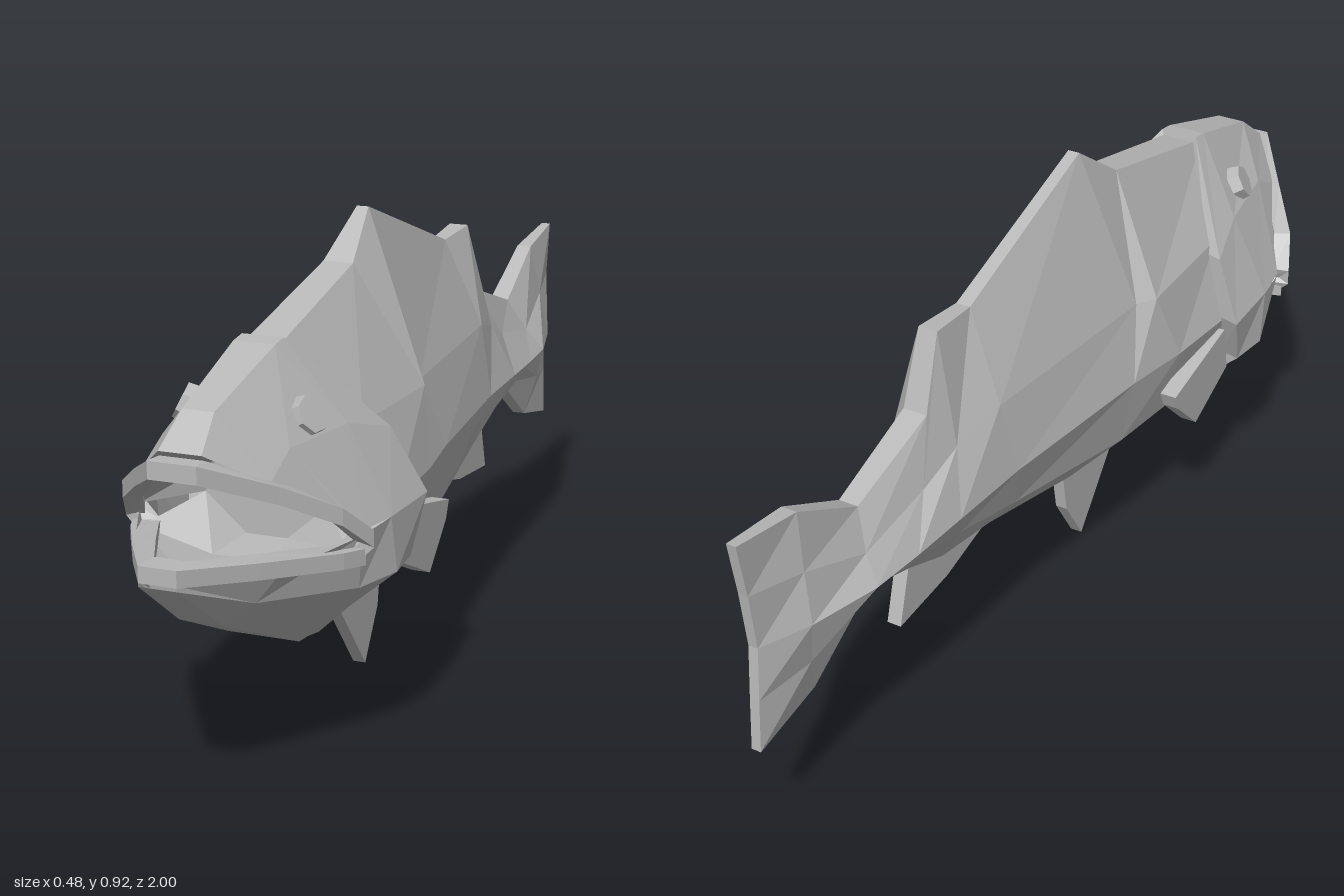
import * as THREE from 'three';

const grey = new THREE.MeshStandardMaterial({ color: 0xb8b8b8, flatShading: true, side: THREE.DoubleSide });
grey.name = 'grey';

const mirror = ([x, y, z]) => [-x, y, z];
// half rows run top to bottom on the +x side
const around = h => [...h, ...h.map(mirror).reverse()];
const overTop = h => [...h.map(mirror).reverse(), ...h];

// skin between successive rows of points
function loft(name, rows, closed = false, caps = false) {
  const n = rows[0].length, index = [];
  for (let r = 0; r < rows.length - 1; r++) {
    for (let i = 0; i < (closed ? n : n - 1); i++) {
      const a = r * n + i, b = r * n + (i + 1) % n, c = a + n, d = b + n;
      index.push(a, b, c, b, d, c);
    }
  }
  if (caps) {
    const e = (rows.length - 1) * n;
    for (let i = 0; i < n / 2 - 1; i++) {
      const j = n - 1 - i;
      for (const [s, f] of [[0, true], [e, false]]) {
        const q = [s + i, s + i + 1, s + j - 1, s + j];
        if (f) q.reverse();
        index.push(q[0], q[1], q[2], q[0], q[2], q[3]);
      }
    }
  }
  const g = new THREE.BufferGeometry();
  g.setAttribute('position', new THREE.Float32BufferAttribute(rows.flat(2), 3));
  g.setIndex(index);
  const flat = g.toNonIndexed();
  flat.computeVertexNormals();
  const m = new THREE.Mesh(flat, grey);
  m.name = name;
  return m;
}

// upright plate from a (z, y) outline
function fin(name, outline, width, x = 0) {
  const shape = new THREE.Shape(outline.map(p => new THREE.Vector2(...p)));
  const g = new THREE.ExtrudeGeometry(shape, { depth: width, bevelEnabled: false });
  g.rotateY(-Math.PI / 2).translate(x + width / 2, 0, 0);
  const m = new THREE.Mesh(g, grey);
  m.name = name;
  return m;
}

// bar that follows a mirrored path around the mouth
function lip(name, half, height, depth) {
  const path = overTop(half);
  const rows = path.map(([x, y, z]) => {
    const l = Math.hypot(x, z - 0.6), k = 1 - depth / l;
    const xi = x * k, zi = 0.6 + (z - 0.6) * k, h = height / 2;
    return [[x, y + h, z], [xi, y + h, zi], [xi, y - h, zi], [x, y - h, z]];
  });
  return loft(name, rows, true, true);
}

export function createModel() {
  const fish = new THREE.Group();
  fish.name = 'fish';

  // body, back ridge and tail in one skin
  const body = [
    [[.035, .75, .62], [.145, .6, .48], [.2, .45, .45], [.185, .34, .49], [.05, .197, .52]],
    [[.03, .835, .25], [.155, .6, .2], [.187, .455, .25], [.15, .31, .25], [.045, .185, .28]],
    [[.012, .92, .13], [.13, .6, .16], [.162, .455, .1], [.135, .31, .1], [.03, .2, .07]],
    [[.015, .78, -.28], [.09, .6, -.3], [.12, .455, -.28], [.09, .35, -.25], [.02, .265, -.23]],
    [[.02, .79, -.4], [.07, .57, -.42], [.108, .452, -.47], [.075, .38, -.42], [.018, .29, -.4]],
    [[.025, .64, -.45], [.06, .53, -.52], [.1, .45, -.6], [.06, .39, -.54], [.015, .33, -.51]],
    [[.02, .57, -.67], [.055, .5, -.7], [.09, .45, -.72], [.05, .41, -.7], [.015, .375, -.66]],
    [[.016, .66, -.84], [.035, .55, -.855], [.053, .45, -.865], [.033, .35, -.85], [.014, .265, -.82]],
    [[.01, .685, -1], [.01, .57, -.98], [.01, .45, -.965], [.01, .34, -.973], [.01, .23, -.98]]
  ];
  fish.add(loft('bodyAndTail', body.map(around), true, true));

  // upper head, ending in the raised gill edge
  const head = [
    [[.04, .645, .91], [.12, .58, .82], [.212, .46, .66]],
    [[.03, .7, .84], [.12, .62, .74], [.218, .46, .65]],
    [[.04, .765, .62], [.15, .62, .56], [.232, .458, .56]],
    [[.04, .77, .585], [.18, .585, .435], [.24, .46, .405]],
    [[.03, .745, .58], [.145, .585, .445], [.195, .458, .42]]
  ];
  fish.add(loft('upperHead', head.map(overTop)));

  // lower jaw and throat
  const jaw = [
    [[.033, .46, .99], [.035, .45, 1], [.035, .44, 1]],
    [[.14, .43, .82], [.1, .375, .84], [.04, .33, .85]],
    [[.215, .45, .655], [.2, .345, .63], [.07, .215, .6]],
    [[.232, .458, .56], [.235, .35, .54], [.068, .21, .56]],
    [[.24, .46, .405], [.225, .35, .45], [.06, .193, .49]],
    [[.195, .458, .42], [.18, .35, .46], [.05, .21, .49]]
  ];
  fish.add(loft('lowerJaw', jaw.map(around)));

  // lips
  fish.add(lip('upperLip', [
    [.045, .62, .94], [.135, .562, .82], [.21, .505, .725], [.24, .45, .66], [.205, .415, .665]
  ], .032, .035));
  fish.add(lip('lowerLip', [
    [.035, .461, 1], [.12, .44, .86], [.205, .42, .71], [.225, .415, .66]
  ], .03, .05));

  // mouth lining
  const throat = [[.04, .555, .58], [.1, .53, .58], [.12, .47, .58]];
  fish.add(loft('mouthRoof', [overTop(throat), overTop(head[0])]));
  fish.add(loft('mouthFloor', [
    [[.12, .47, .58], [.04, .4, .58]],
    [[.2, .425, .68], [.06, .39, .68]],
    [[.11, .435, .84], [.04, .41, .84]],
    [[.033, .455, .975], [.02, .45, .975]]
  ].map(around)));
  fish.add(loft('throatWall', [overTop(throat), overTop([[.02, .4, .58], [.04, .4, .58], [.12, .46, .58]])]));

  // fins on the centre line
  fish.add(fin('bellyFin', [[.31, .19], [.155, 0], [.09, .1], [.07, .21]], .026));
  fish.add(fin('analFin', [[-.23, .27], [-.38, .23], [-.545, .215], [-.51, .34], [-.38, .34]], .03));

  // paired eyes and side fins
  for (const s of [1, -1]) {
    const eye = new THREE.Mesh(new THREE.CylinderGeometry(.035, .04, .035, 7), grey);
    eye.name = s > 0 ? 'leftEye' : 'rightEye';
    eye.position.set(s * .112, .652, .65);
    eye.quaternion.setFromUnitVectors(new THREE.Vector3(0, 1, 0), new THREE.Vector3(s * .85, .45, .28).normalize());
    fish.add(eye);
    fish.add(fin(s > 0 ? 'leftSideFin' : 'rightSideFin',
      [[.42, .43], [.2, .38], [.215, .345], [.3, .265], [.44, .33]], .035, s * .188));
  }
  return fish;
}
